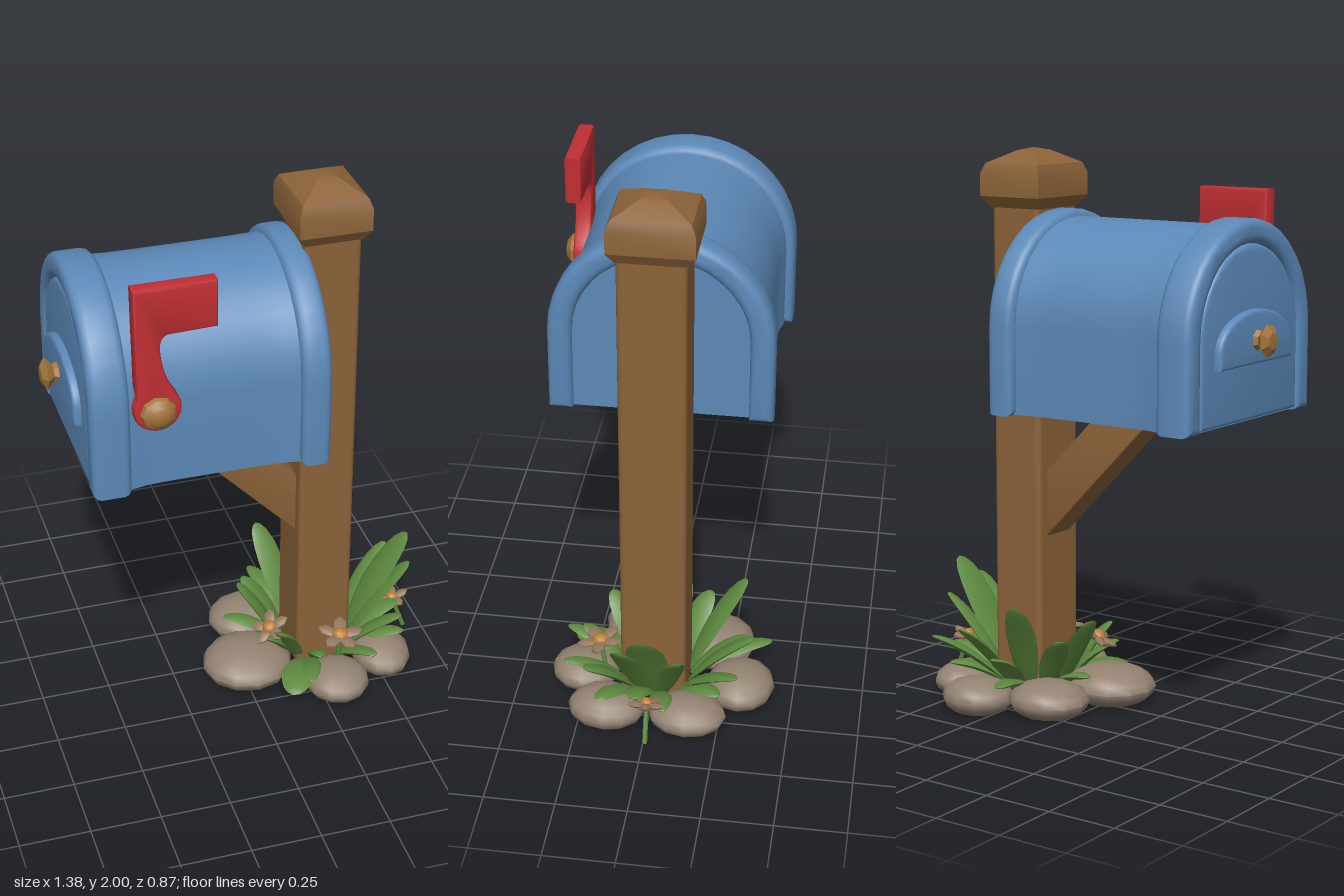
import * as THREE from 'three';
import { toCreasedNormals } from 'three/addons/utils/BufferGeometryUtils.js';
import { RoundedBoxGeometry } from 'three/addons/geometries/RoundedBoxGeometry.js';

const mat = (name, color) => {
  const m = new THREE.MeshStandardMaterial({ color });
  m.name = name;
  return m;
};

// Arched outline: straight walls up to the spring line, then a half ellipse
function archPoints(w, bottom, spring, top, n = 18) {
  const pts = [new THREE.Vector2(w, bottom)];
  for (let i = 0; i <= n; i++) {
    const a = (Math.PI * i) / n;
    pts.push(new THREE.Vector2(w * Math.cos(a), spring + (top - spring) * Math.sin(a)));
  }
  pts.push(new THREE.Vector2(-w, bottom));
  return pts;
}

// Extrude a shape in z-y along x from x0 to x1, bevel included in the length
function extrudeX(shape, x0, x1, bevel, steps = 1) {
  const g = new THREE.ExtrudeGeometry(shape, {
    depth: x1 - x0 - 2 * bevel, steps, bevelEnabled: bevel > 0,
    bevelSize: bevel, bevelThickness: bevel, bevelSegments: 3,
  });
  g.rotateY(Math.PI / 2);
  return g.translate(x0 + bevel, 0, 0);
}

export function createModel() {
  const root = new THREE.Group();
  const blue = mat('blue paint', 0x5c89b8);
  const wood = mat('brown wood', 0x8c6339);
  const red = mat('red paint', 0xc02f33);
  const brass = mat('brass', 0xa4773e);
  const stone = mat('stone', 0x948372);
  const green = mat('leaf green', 0x5f8b40);
  const petal = mat('petal', 0x94785f);
  const orange = mat('flower centre', 0xbd803a);

  const add = (name, geo, material, crease = 0.7, parent = root) => {
    const mesh = new THREE.Mesh(crease ? toCreasedNormals(geo, crease) : geo, material);
    mesh.name = name;
    parent.add(mesh);
  };

  // Post with chamfered cap
  add('post', new RoundedBoxGeometry(0.205, 1.84, 0.235, 2, 0.02).translate(0.303, 0.94, 0), wood, 0);
  const profile = [[0, 1.79], [0.82, 1.79], [1, 1.83], [1, 1.91], [0.9, 1.945], [0.3, 1.99], [0, 2]];
  const cap = new THREE.LatheGeometry(profile.map(([r, y]) => new THREE.Vector2(r * Math.SQRT2, y)), 4);
  cap.rotateY(Math.PI / 4).scale(0.128, 1, 0.147).translate(0.303, 0, -0.002);
  add('postCap', cap, wood, 0.45);

  // Diagonal brace
  const braceShape = new THREE.Shape([[-0.29, 1.13], [0.22, 0.6], [0.22, 0.82], [-0.08, 1.13]]
    .map((p) => new THREE.Vector2(...p)));
  add('brace', new THREE.ExtrudeGeometry(braceShape, {
    depth: 0.12, bevelSize: 0.01, bevelThickness: 0.01, bevelSegments: 2,
  }).translate(0, 0, -0.06), wood);

  // Box body, flaring a little toward both rims
  const body = extrudeX(new THREE.Shape(archPoints(0.345, 1.105, 1.41, 1.765)), -0.59, 0.19, 0, 14);
  const bp = body.attributes.position;
  for (let i = 0; i < bp.count; i++) {
    const u = Math.abs(bp.getX(i) + 0.18) / 0.3;
    bp.setZ(i, bp.getZ(i) * (1 + 0.05 * Math.min(1, u ** 6)));
  }
  add('boxBody', body, blue);

  // Rounded rims, open along the bottom
  const rim = (name, x0, x1) => {
    const b = 0.028, thick = 0.085;
    const outer = archPoints(0.39 - b, 1.1 + b, 1.4, 1.79 - b);
    const inner = archPoints(0.39 - thick + b, 1.1 + b, 1.4, 1.79 - thick + b).reverse();
    add(name, extrudeX(new THREE.Shape([...outer, ...inner]), x0, x1, b), blue);
  };
  rim('doorRim', -0.612, -0.475);
  rim('backRim', 0.115, 0.22);

  // Door with raised plate and knob
  add('door', extrudeX(new THREE.Shape(archPoints(0.29, 1.125, 1.4, 1.69)), -0.606, -0.55, 0.015), blue);
  add('doorPlate', extrudeX(new THREE.Shape(archPoints(0.215, 1.315, 1.36, 1.475)), -0.633, -0.59, 0.012), blue);
  const knob = new THREE.LatheGeometry([[0, 0], [0.04, 0], [0.03, 0.025], [0.058, 0.05], [0.03, 0.068], [0, 0.07]]
    .map((p) => new THREE.Vector2(...p)), 7);
  add('doorKnob', knob.rotateZ(Math.PI / 2).translate(-0.625, 1.385, 0), brass, 0.5);

  // Signal flag: bar, tapering stem and round hub
  const f = new THREE.Shape();
  f.moveTo(-0.45, 1.85);
  f.lineTo(-0.445, 1.5);
  f.absarc(-0.385, 1.415, 0.07, 2.5, Math.PI * 2 + 0.5, false);
  f.quadraticCurveTo(-0.38, 1.53, -0.385, 1.64);
  f.quadraticCurveTo(-0.38, 1.7, -0.34, 1.7);
  f.lineTo(-0.19, 1.705);
  f.lineTo(-0.19, 1.85);
  add('flag', new THREE.ExtrudeGeometry(f, {
    depth: 0.036, bevelSize: 0.012, bevelThickness: 0.012, bevelSegments: 2, curveSegments: 8,
  }).translate(0, 0, 0.342), red);
  add('flagPivot', new THREE.SphereGeometry(1, 9, 6).rotateX(Math.PI / 2)
    .scale(0.065, 0.065, 0.05).translate(-0.385, 1.405, 0.38), brass, 0.5);

  // Ring of flat-bottomed stones: x, z, radius x, radius z, height
  const rocks = new THREE.Group();
  rocks.name = 'stones';
  root.add(rocks);
  [[0.02, 0.07, 0.17, 0.16, 0.13], [0.1, -0.2, 0.15, 0.14, 0.12], [0.335, -0.31, 0.135, 0.125, 0.12],
    [0.52, -0.14, 0.11, 0.14, 0.11], [0.52, 0.15, 0.11, 0.14, 0.12], [0.31, 0.26, 0.12, 0.125, 0.11],
  ].forEach(([x, z, rx, rz, h]) => {
    const g = new THREE.SphereGeometry(1, 12, 8).scale(rx, h * 0.58, rz).translate(x, h * 0.42, z);
    const p = g.attributes.position;
    for (let i = 0; i < p.count; i++) p.setY(i, Math.max(0, p.getY(i)));
    add('stone', g, stone, 0.9, rocks);
  });

  // Leaves fan out from the post: a flattened ball bent along an arching curve
  const leaf = (parent, angle, reach, height, w) => {
    const out = new THREE.Vector3(Math.cos(angle), 0, Math.sin(angle));
    const at = (r, y) => new THREE.Vector3(0.3, y, 0).addScaledVector(out, r);
    const curve = new THREE.QuadraticBezierCurve3(
      at(0.12, 0.04), at(0.06 + reach * 0.5, 0.06 + height * 0.55), at(reach, height));
    const side = new THREE.Vector3(out.z, 0, -out.x);
    const g = new THREE.SphereGeometry(1, 6, 9);
    const p = g.attributes.position;
    for (let i = 0; i < p.count; i++) {
      const t = (p.getY(i) + 1) / 2;
      const n = side.clone().cross(curve.getTangent(t));
      const q = curve.getPoint(t).addScaledVector(side, p.getX(i) * w).addScaledVector(n, p.getZ(i) * 0.014);
      p.setXYZ(i, q.x, q.y, q.z);
    }
    add('leaf', g, green, 0.8, parent);
  };
  // Each leaf: angle around the post, reach, tip height, half width
  const clump = (name, leaves) => {
    const group = new THREE.Group();
    group.name = name;
    root.add(group);
    leaves.forEach((l) => leaf(group, ...l));
  };
  clump('tallGrass', [[0, 0.37, 0.46, 0.075], [0.25, 0.36, 0.39, 0.06], [-0.35, 0.35, 0.35, 0.045],
    [0.68, 0.35, 0.25, 0.05], [1.16, 0.35, 0.17, 0.035], [0.12, 0.33, 0.18, 0.05],
    [0.52, 0.35, 0.14, 0.04], [-0.2, 0.35, 0.15, 0.04]]);
  clump('backGrass', [[-1.35, 0.37, 0.3, 0.045], [-0.92, 0.4, 0.24, 0.04], [-1.72, 0.34, 0.2, 0.045],
    [-0.87, 0.33, 0.13, 0.04], [-1.97, 0.34, 0.4, 0.055], [-1.88, 0.43, 0.13, 0.04]]);
  clump('grassUnderBox', [[-2.96, 0.29, 0.32, 0.065], [-2.5, 0.29, 0.26, 0.05], [2.36, 0.28, 0.25, 0.045],
    [2.74, 0.26, 0.18, 0.05], [2.08, 0.37, 0.06, 0.065], [1.8, 0.29, 0.18, 0.035],
    [1.9, 0.37, 0.13, 0.035], [-2.78, 0.34, 0.13, 0.04]]);

  // Five-petal flowers on short stems
  const flower = (x, y, z, size, tiltX, tiltZ) => {
    const fl = new THREE.Group();
    fl.name = 'flower';
    for (let i = 0; i < 5; i++) {
      const g = new THREE.SphereGeometry(1, 6, 5).scale(size * 0.55, 0.012, size * 0.32);
      g.translate(size * 0.5, 0, 0).rotateZ(0.12).rotateY((i * Math.PI * 2) / 5);
      add('petal', g, petal, 0.8, fl);
    }
    add('flowerCentre', new THREE.SphereGeometry(1, 8, 5).scale(size * 0.36, 0.02, size * 0.36)
      .translate(0, 0.01, 0), orange, 0.8, fl);
    add('flowerStem', new THREE.CylinderGeometry(0.009, 0.009, 0.14, 6).translate(0, -0.07, 0), green, 0.8, fl);
    fl.position.set(x, y, z);
    fl.rotation.set(tiltX, 0, tiltZ);
    root.add(fl);
  };
  flower(0.34, 0.195, 0.2, 0.085, 0.15, 0);
  flower(0.1, 0.21, 0.1, 0.075, 0.25, 0.5);
  flower(0.625, 0.155, -0.01, 0.065, 0, 0.35);

  return root;
}
